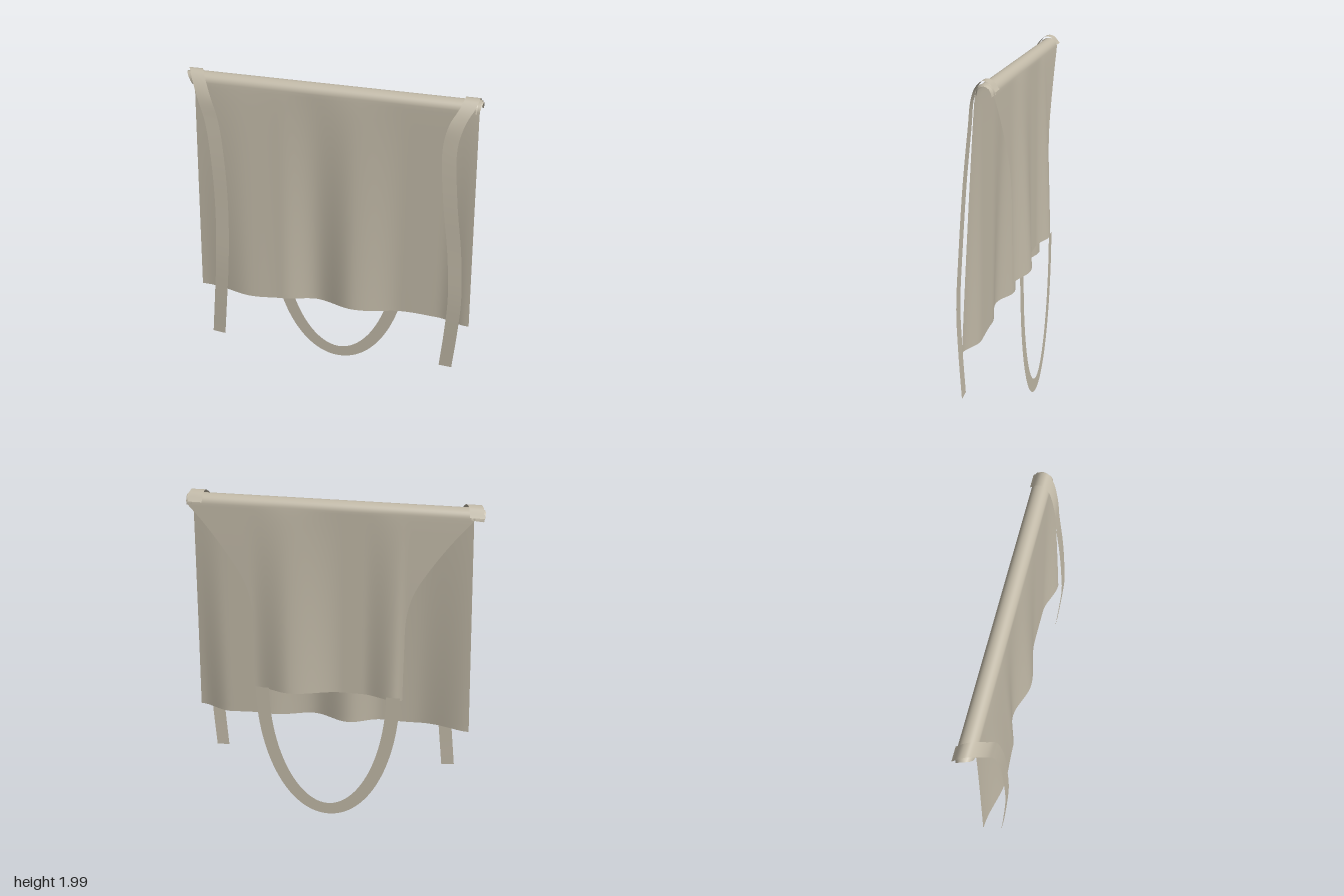
import * as THREE from 'three';

const cloth = new THREE.MeshStandardMaterial({ color: 0xc2baa8, side: THREE.DoubleSide });
cloth.name = 'taupe cloth';

// Smoothly interpolates a small table of [position, value] pairs
function ease(table, p) {
  if (p <= table[0][0]) return table[0][1];
  for (let i = 1; i < table.length; i++) {
    const [a, va] = table[i - 1], [b, vb] = table[i];
    if (p <= b) return THREE.MathUtils.lerp(va, vb, THREE.MathUtils.smoothstep(p, a, b));
  }
  return table[table.length - 1][1];
}

// Open surface whose points come from fn(u, v), both 0..1
function surface(name, nu, nv, fn) {
  const pos = [], index = [];
  for (let j = 0; j <= nv; j++) {
    for (let i = 0; i <= nu; i++) {
      pos.push(...fn(i / nu, j / nv));
      if (i < nu && j < nv) {
        const a = j * (nu + 1) + i, c = a + nu + 1;
        index.push(a, c, a + 1, a + 1, c, c + 1);
      }
    }
  }
  const g = new THREE.BufferGeometry();
  g.setAttribute('position', new THREE.Float32BufferAttribute(pos, 3));
  g.setIndex(index);
  g.computeVertexNormals();
  const mesh = new THREE.Mesh(g, cloth);
  mesh.name = name;
  return mesh;
}

// Depth of the folds along the hem of each panel
const skirtFolds = [[-0.81, 0.035], [-0.5, 0.09], [-0.3, 0.08], [-0.1, 0.03], [0.12, 0.09],
  [0.4, 0.04], [0.62, 0.04], [0.81, 0.092]];
const bibFolds = [[-0.43, -0.115], [-0.38, -0.122], [-0.2, -0.076], [-0.08, -0.076],
  [0.22, -0.138], [0.43, -0.085]];

// Curved side edge of the bib: half width and height
const bibEdge = new THREE.CatmullRomCurve3([[0.77, 1.9375], [0.68, 1.83], [0.56, 1.66], [0.47, 1.5],
  [0.435, 1.36], [0.43, 1.1], [0.43, 0.84]].map(([x, y]) => new THREE.Vector3(x, y, 0)));

// Whole apron sheet: skirt in front, rounded fold on top, bib behind
function apronSheet() {
  const s = 0.36, r = 0.56;
  return surface('apronSheet', 64, 90, (u, v) => {
    const side = u * 2 - 1;
    if (v <= s) {
      const t = 1 - v / s;
      const x = side * (0.76 + 0.053 * t);
      const z = THREE.MathUtils.lerp(0.02, ease(skirtFolds, x), Math.pow(t, 0.8));
      return [x, 1.9375 - 1.358 * t + 0.004 * t * Math.sin(x * 17), z];
    }
    if (v < r) {
      const a = Math.PI * (v - s) / (r - s);
      return [side * (0.76 + 0.01 * (v - s) / (r - s)), 1.9375 + 0.0475 * Math.sin(a), -0.0275 + 0.0475 * Math.cos(a)];
    }
    const t = (v - r) / (1 - r);
    const e = bibEdge.getPoint(t);
    const x = side * e.x, drop = (1.9375 - e.y) / 1.0975;
    return [x, e.y, THREE.MathUtils.lerp(-0.075, ease(bibFolds, x), Math.pow(drop, 0.8))];
  });
}

// Waist tie: a flat ribbon hanging over the fold along a path
function tie(name, points) {
  const path = new THREE.CatmullRomCurve3(points.map(p => new THREE.Vector3(...p)));
  return surface(name, 2, 70, (u, v) => {
    const p = path.getPoint(v), t = path.getTangent(v);
    const across = new THREE.Vector3(t.y, -t.x, 0);
    // stays level across the fold, turns with the path where it hangs
    across.lerp(new THREE.Vector3(-1, 0, 0), THREE.MathUtils.smoothstep(p.y, 1.8, 1.93)).normalize();
    p.addScaledVector(across, (u - 0.5) * 0.076);
    return [p.x, p.y, p.z];
  });
}

// Neck loop: flat half ellipse hanging below the bib
function neckLoop() {
  const a = 0.378, b = 0.815;
  return surface('neckLoop', 1, 64, (u, v) => {
    const ang = Math.PI * (1 + v), c = Math.cos(ang), s = Math.sin(ang);
    const n = new THREE.Vector2(c / a, s / b).normalize().multiplyScalar((u - 0.5) * 0.078);
    return [a * c + n.x, 0.86 + b * s + n.y, -0.125];
  });
}

export function createModel() {
  const group = new THREE.Group();
  group.name = 'foldedApron';
  group.add(apronSheet(), neckLoop());
  group.add(tie('rightTie', [[-0.78, 1.95, -0.083], [-0.77, 1.993, -0.045], [-0.755, 1.998, -0.012],
    [-0.735, 1.965, 0.025], [-0.7, 1.88, 0.065], [-0.66, 1.75, 0.085], [-0.632, 1.5, 0.108], [-0.625, 1.2, 0.122],
    [-0.64, 0.85, 0.135], [-0.67, 0.55, 0.13], [-0.7, 0.278, 0.12]]));
  group.add(tie('leftTie', [[0.722, 1.95, -0.083], [0.718, 1.993, -0.045], [0.715, 1.998, -0.012],
    [0.7, 1.965, 0.025], [0.655, 1.88, 0.065], [0.63, 1.75, 0.085], [0.653, 1.45, 0.11], [0.7, 1.1, 0.124],
    [0.722, 0.8, 0.135], [0.715, 0.55, 0.13], [0.698, 0.278, 0.12]]));
  // Pinched corners where the cloth flares at the ends of the fold
  for (const [name, x, tip] of [['rightCorner', -0.75, -0.82], ['leftCorner', 0.74, 0.775]]) {
    group.add(surface(name, 4, 8, (u, v) => {
      const ang = Math.PI * v;
      return [THREE.MathUtils.lerp(x, tip, u * Math.sin(ang * 0.5 + 0.4)),
        1.935 + 0.052 * Math.sin(ang) - 0.01 * u, -0.026 + (0.052 - 0.012 * u) * Math.cos(ang)];
    }));
  }
  return group;
}
